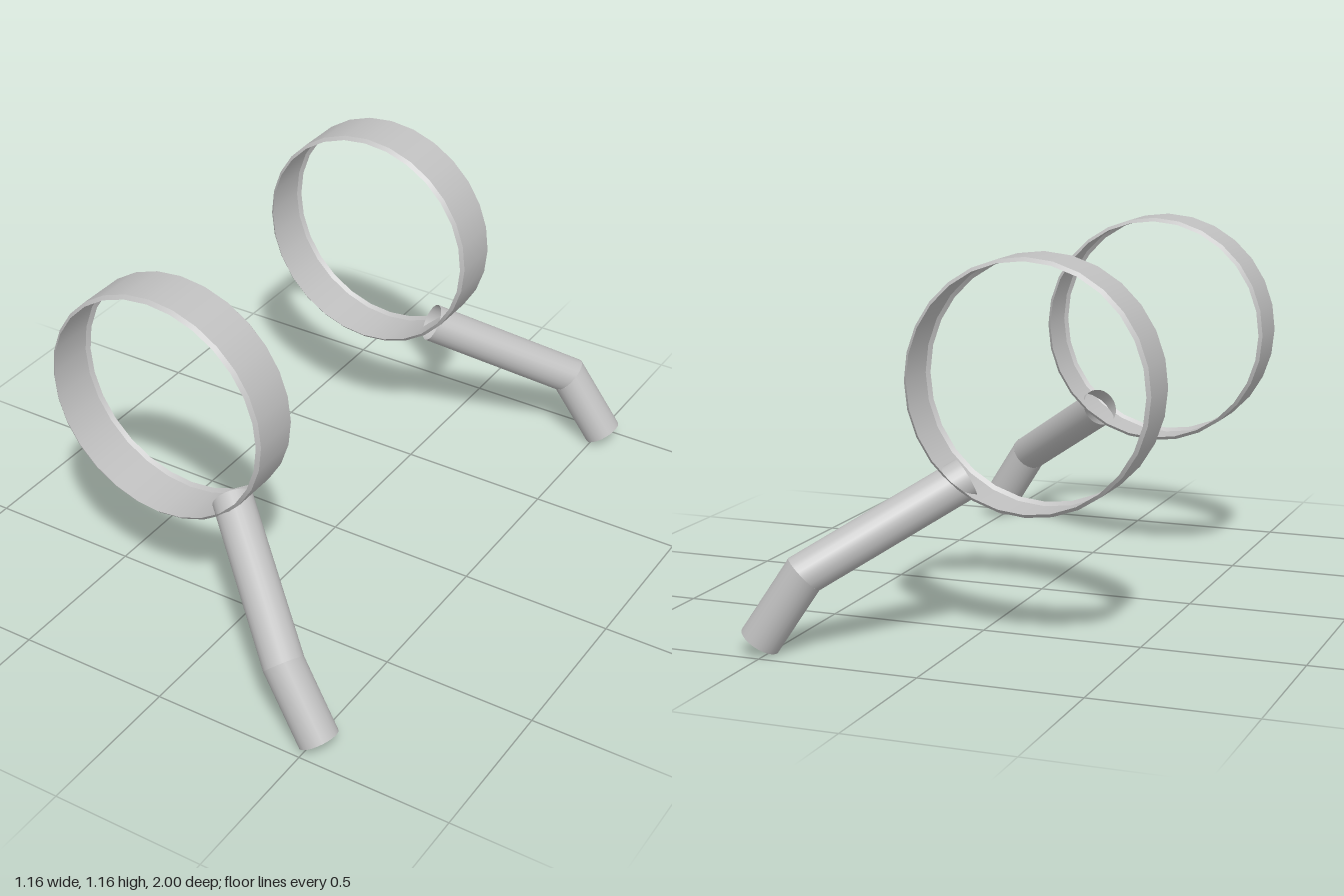
import * as THREE from 'three';

const metal = new THREE.MeshStandardMaterial({ color: 0xc0c0c0, side: THREE.DoubleSide });
metal.name = 'light grey';

// Open straight tube whose ends are cut by the given planes (normals nA, nB)
function cutTube(a, b, nA, nB, radius, sides = 24) {
  const dir = b.clone().sub(a).normalize();
  const u = new THREE.Vector3(0, 1, 0).cross(dir).normalize();
  const v = dir.clone().cross(u);
  const pos = [], nor = [], idx = [];
  for (let i = 0; i <= sides; i++) {
    const t = (i / sides) * Math.PI * 2;
    const n = u.clone().multiplyScalar(Math.cos(t)).addScaledVector(v, Math.sin(t));
    for (const [c, plane] of [[a, nA], [b, nB]]) {
      const off = n.clone().multiplyScalar(radius);
      off.addScaledVector(dir, -off.dot(plane) / dir.dot(plane));
      pos.push(...off.add(c).toArray());
      nor.push(...n.toArray());
    }
    if (i < sides) {
      const k = i * 2;
      idx.push(k, k + 2, k + 1, k + 1, k + 2, k + 3);
    }
  }
  const g = new THREE.BufferGeometry();
  g.setAttribute('position', new THREE.Float32BufferAttribute(pos, 3));
  g.setAttribute('normal', new THREE.Float32BufferAttribute(nor, 3));
  g.setIndex(idx);
  return g;
}

// Thin hoop with small chamfers; doubled profile points keep the creases sharp
function hoopGeometry() {
  const profile = [[0.367, -0.09], [0.378, -0.079], [0.378, -0.079],
    [0.378, 0.079], [0.378, 0.079], [0.367, 0.09]];
  return new THREE.LatheGeometry(profile.map(p => new THREE.Vector2(...p)), 28).rotateX(Math.PI / 2);
}

function addMesh(parent, geometry, name) {
  const mesh = new THREE.Mesh(geometry, metal);
  mesh.name = name;
  parent.add(mesh);
  return mesh;
}

export function createModel() {
  const model = new THREE.Group();
  model.name = 'hoopPair';
  for (const side of [1, -1]) {
    const unit = new THREE.Group();
    unit.name = side > 0 ? 'frontHoopAndStem' : 'backHoopAndStem';
    model.add(unit);

    addMesh(unit, hoopGeometry(), 'hoop').position.set(-0.205, 0.787, 0.602 * side);

    // Bent stem with a mitred joint
    const top = new THREE.Vector3(0.012, 0.494, 0.603 * side);
    const bend = new THREE.Vector3(0.393, 0.243, 0.912 * side);
    const foot = new THREE.Vector3(0.528, 0.036, 0.936 * side);
    const d1 = bend.clone().sub(top).normalize();
    const d2 = foot.clone().sub(bend).normalize();
    const mitre = d1.clone().add(d2).normalize();
    addMesh(unit, cutTube(top, bend, d1, mitre, 0.0635), 'upperStem');
    addMesh(unit, cutTube(bend, foot, mitre, d2, 0.0635), 'lowerStem');
  }
  return model;
}
